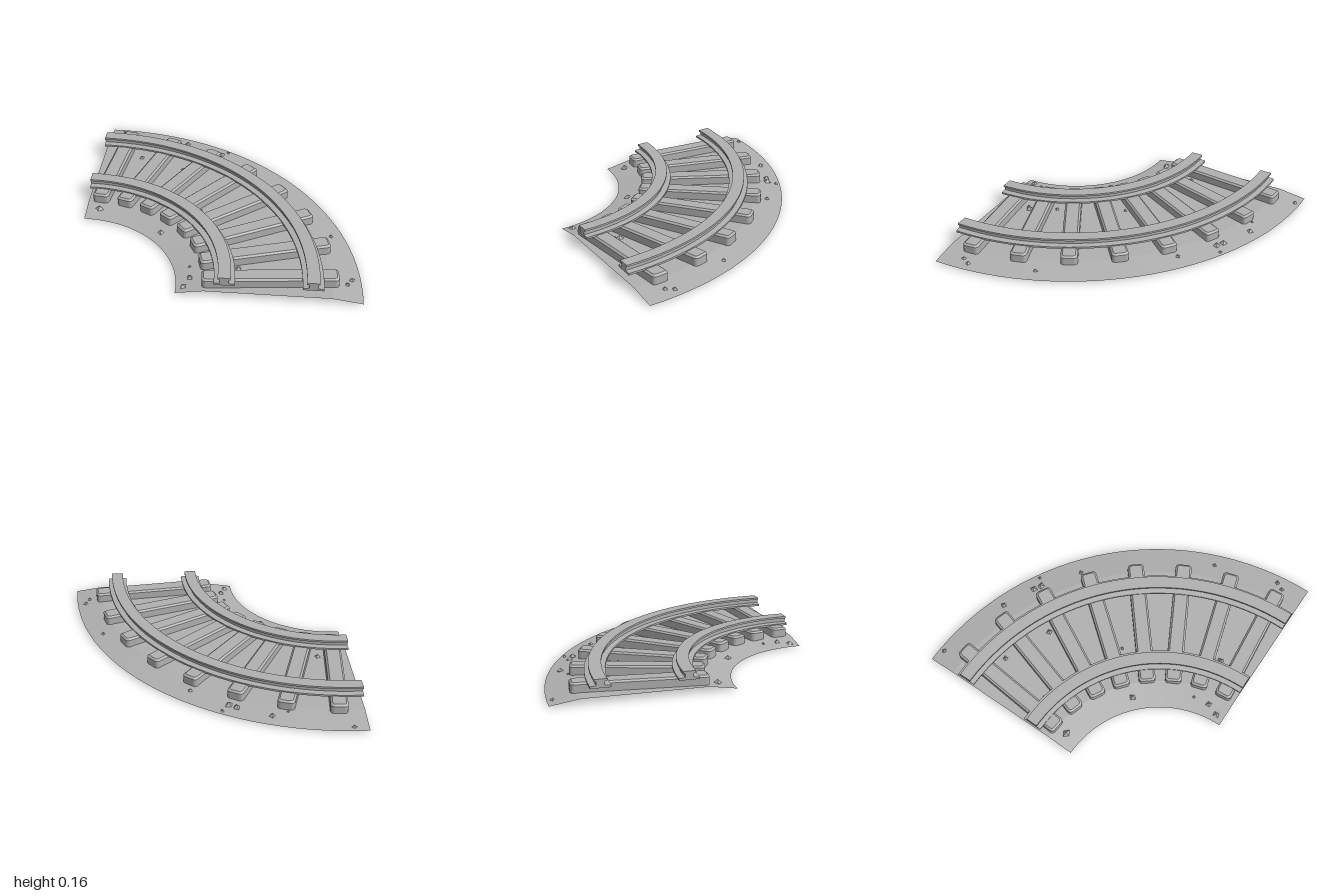
import * as THREE from 'three';
import { toCreasedNormals } from 'three/addons/utils/BufferGeometryUtils.js';
import { ConvexGeometry } from 'three/addons/geometries/ConvexGeometry.js';

const QUARTER = Math.PI / 2;
const vec = ([r, y]) => new THREE.Vector2(r, y);

// Sweep a radius/height profile round the quarter turn
function sweep(profile) {
  const g = new THREE.LatheGeometry(profile.map(vec), 32, QUARTER, QUARTER);
  return toCreasedNormals(g, 0.12);
}

// Ballast: flat crown with sloping shoulders, from outer to inner edge
const BED = [[2, 0.01], [1.8, 0.04], [0.95, 0.04], [0.76, 0.01]];
function bedHeight(r) {
  if (r > 1.8) return 0.01 + 0.03 * (2 - r) / 0.2;
  if (r < 0.95) return 0.01 + 0.03 * (r - 0.76) / 0.19;
  return 0.04;
}

// Rail section: foot, web and head, listed anticlockwise
function railProfile(c) {
  const half = [[0.07, 0.1], [0.07, 0.114], [0.029, 0.118], [0.029, 0.143], [0.043, 0.146], [0.043, 0.16]];
  return [
    ...half.map(([d, y]) => [c + d, y]),
    ...half.slice().reverse().map(([d, y]) => [c - d, y]),
  ];
}

// Rounded rectangle ring at height y, used to build the sleepers
function ring(halfLength, halfWidth, radius, y) {
  const pts = [];
  for (let corner = 0; corner < 4; corner++) {
    const sx = corner === 0 || corner === 3 ? 1 : -1;
    const sz = corner < 2 ? 1 : -1;
    for (let i = 0; i <= 3; i++) {
      const a = corner * QUARTER + (i / 3) * QUARTER;
      pts.push(new THREE.Vector3(
        sx * (halfLength - radius) + radius * Math.cos(a), y,
        sz * (halfWidth - radius) + radius * Math.sin(a)));
    }
  }
  return pts;
}

export function createModel() {
  const model = new THREE.Group();
  model.name = 'curvedTrack';
  const grey = new THREE.MeshStandardMaterial({ color: 0xb0b0b0, side: THREE.DoubleSide });
  grey.name = 'grey';

  // Everything turns about the inner corner of the square
  const track = new THREE.Group();
  track.name = 'track';
  track.position.set(-1, 0, 1);
  model.add(track);

  const add = (geometry, name, parent = track) => {
    const mesh = new THREE.Mesh(geometry, grey);
    mesh.name = name;
    parent.add(mesh);
    return mesh;
  };

  add(sweep(BED), 'ballastBed');

  // Two rails with closed ends
  for (const [name, radius] of [['innerRail', 1.087], ['outerRail', 1.67]]) {
    const rail = new THREE.Group();
    rail.name = name;
    track.add(rail);
    const profile = railProfile(radius);
    add(sweep([...profile, profile[0]]), name + 'Body', rail);
    const cap = new THREE.ShapeGeometry(new THREE.Shape(profile.map(vec)));
    add(cap, name + 'FrontEnd', rail);
    add(cap, name + 'SideEnd', rail).rotation.y = QUARTER;
  }

  // Eight sleepers with rounded corners and chamfered tops
  const sleeperGeometry = new ConvexGeometry([
    ...ring(0.455, 0.06, 0.025, 0.038),
    ...ring(0.455, 0.06, 0.025, 0.094),
    ...ring(0.441, 0.046, 0.018, 0.106),
  ]);
  for (let i = 0; i < 8; i++) {
    const angle = (i + 0.5) * QUARTER / 8;
    const sleeper = add(sleeperGeometry, 'sleeper');
    sleeper.position.set(1.39 * Math.cos(angle), 0, -1.39 * Math.sin(angle));
    sleeper.rotation.y = angle;
  }

  // Loose stones: x, z, size
  const stones = [
    [-0.9, -0.96, 0.02], [-0.37, -0.81, 0.026], [-0.48, -0.78, 0.013], [-0.14, -0.7, 0.03],
    [-0.09, -0.67, 0.032], [-0.04, -0.72, 0.016], [-0.7, -0.55, 0.022], [-0.355, -0.405, 0.025],
    [0.165, -0.485, 0.02], [-0.78, -0.14, 0.024], [-0.16, 0.11, 0.015], [-0.905, 0.135, 0.033],
    [-0.42, 0.375, 0.028], [0.065, 0.57, 0.018], [0.78, 0.31, 0.018], [0.925, 0.775, 0.022],
    [0.895, 0.83, 0.02], [-0.17, 0.74, 0.014], [-0.155, 0.855, 0.026], [-0.19, 0.94, 0.03],
    [0.135, 0.78, 0.016], [0.16, 0.755, 0.03], [0.5, 0.905, 0.014],
  ];
  const stoneGeometry = new THREE.OctahedronGeometry(1);
  stones.forEach(([x, z, size], i) => {
    const stone = add(stoneGeometry, 'stone', model);
    const y = bedHeight(Math.hypot(x + 1, z - 1));
    const height = Math.min(size * 0.85, y);
    stone.position.set(x, y, z);
    stone.scale.set(size, height, size * 0.85);
    stone.rotation.y = i * 1.7;
  });

  return model;
}
